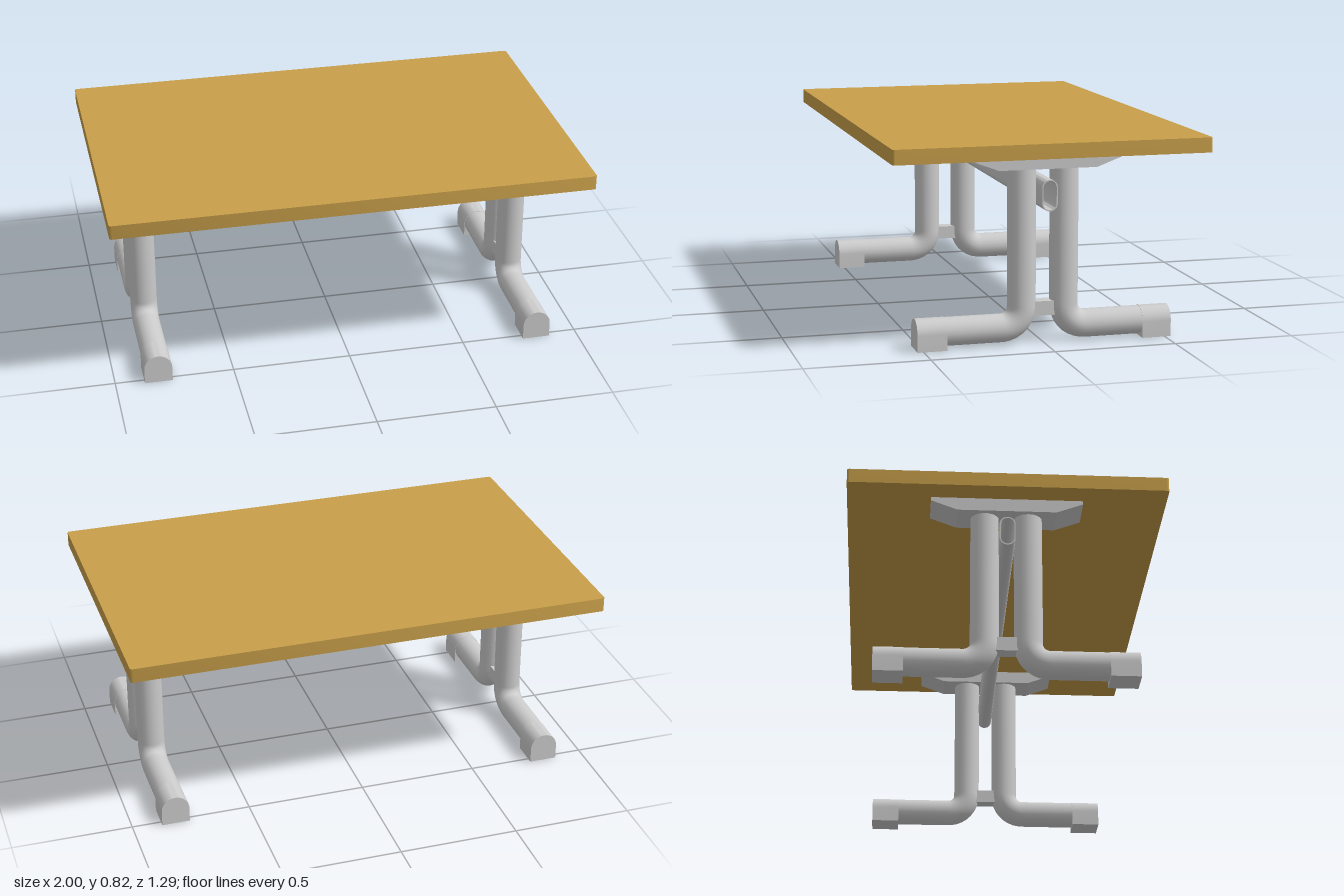
import * as THREE from 'three';
import { toCreasedNormals } from 'three/addons/utils/BufferGeometryUtils.js';

const grey = new THREE.MeshStandardMaterial({ color: 0xcccccc });
const wood = new THREE.MeshStandardMaterial({ color: 0xc89f4a });

const PIPE_R = 0.0575, PIPE_Y = 0.065, LEG_X = 0.82, LEG_Z = 0.0875;

function addMesh(parent, name, geometry, material = grey) {
  const mesh = new THREE.Mesh(geometry, material);
  mesh.name = name;
  parent.add(mesh);
  return mesh;
}

// Extrudes a shape, centred along the extrusion, with rounded sides smoothed
function prism(shape, depth, curveSegments = 10) {
  const geo = new THREE.ExtrudeGeometry(shape, { depth, bevelEnabled: false, curveSegments });
  geo.translate(0, 0, -depth / 2);
  return toCreasedNormals(geo, 0.6);
}

// Upright oval outline
function oval(path, r, half) {
  path.absarc(0, half, r, 0, Math.PI, false);
  path.absarc(0, -half, r, Math.PI, Math.PI * 2, false);
  path.closePath();
  return path;
}

// Pipe that drops from the bracket and bends outward into the foot
function legGeometry() {
  const bend = 0.085, k = bend * 0.4477;
  const p = (y, z) => new THREE.Vector3(0, y, z);
  const path = new THREE.CurvePath();
  path.add(new THREE.LineCurve3(p(0.715, LEG_Z), p(PIPE_Y + bend, LEG_Z)));
  path.add(new THREE.CubicBezierCurve3(
    p(PIPE_Y + bend, LEG_Z), p(PIPE_Y + k, LEG_Z),
    p(PIPE_Y, LEG_Z + k), p(PIPE_Y, LEG_Z + bend)));
  path.add(new THREE.LineCurve3(p(PIPE_Y, LEG_Z + bend), p(PIPE_Y, 0.5)));
  return new THREE.TubeGeometry(path, 64, PIPE_R, 20, false);
}

// Arched end shoe with a flat base
function shoeGeometry() {
  const r = PIPE_R + 0.001;
  const s = new THREE.Shape();
  s.moveTo(-r, 0);
  s.lineTo(r, 0);
  s.lineTo(r, PIPE_Y);
  s.absarc(0, PIPE_Y, r, 0, Math.PI, false);
  s.closePath();
  return prism(s, 0.12);
}

// Tapered bracket under the top
function bracketGeometry() {
  const s = new THREE.Shape([
    [-0.2, 0.71], [0.2, 0.71], [0.307, 0.75], [0.307, 0.766], [-0.307, 0.766], [-0.307, 0.75],
  ].map(([z, y]) => new THREE.Vector2(z, y)));
  const geo = new THREE.ExtrudeGeometry(s, { depth: 0.148, bevelEnabled: false });
  geo.translate(0, 0, -0.074);
  return geo.rotateY(Math.PI / 2);
}

// Slab with slightly rounded vertical corners
function topGeometry() {
  const x = 1, z = 0.645, r = 0.01;
  const s = new THREE.Shape();
  s.absarc(x - r, z - r, r, 0, Math.PI / 2, false);
  s.absarc(-x + r, z - r, r, Math.PI / 2, Math.PI, false);
  s.absarc(-x + r, -z + r, r, Math.PI, Math.PI * 1.5, false);
  s.absarc(x - r, -z + r, r, Math.PI * 1.5, Math.PI * 2, false);
  s.closePath();
  return prism(s, 0.06, 4).rotateX(-Math.PI / 2);
}

export function createModel() {
  const table = new THREE.Group();
  table.name = 'table';

  addMesh(table, 'tableTop', topGeometry(), wood).position.y = 0.795;

  // Hollow oval stretcher joining both trestles
  const tube = oval(new THREE.Shape(), 0.032, 0.031);
  tube.holes.push(oval(new THREE.Path(), 0.027, 0.031));
  addMesh(table, 'stretcher', prism(tube, 1.84).rotateY(Math.PI / 2)).position.y = 0.608;

  const leg = legGeometry(), shoe = shoeGeometry(), bracket = bracketGeometry();
  for (const side of [1, -1]) {
    const trestle = new THREE.Group();
    trestle.name = side > 0 ? 'leftTrestle' : 'rightTrestle';
    trestle.position.x = side * LEG_X;
    table.add(trestle);

    addMesh(trestle, 'bracket', bracket).position.x = side * 0.004;

    // Small plate tying the two pipes together above the bends
    addMesh(trestle, 'tiePlate', new THREE.BoxGeometry(0.06, 0.058, 0.09)).position.y = 0.141;

    for (const end of [0, 1]) {
      const half = new THREE.Group();
      half.name = end ? 'backLeg' : 'frontLeg';
      half.rotation.y = end * Math.PI;
      addMesh(half, 'legPipe', leg);
      addMesh(half, 'shoe', shoe).position.z = 0.465;
      trestle.add(half);
    }
  }
  return table;
}
